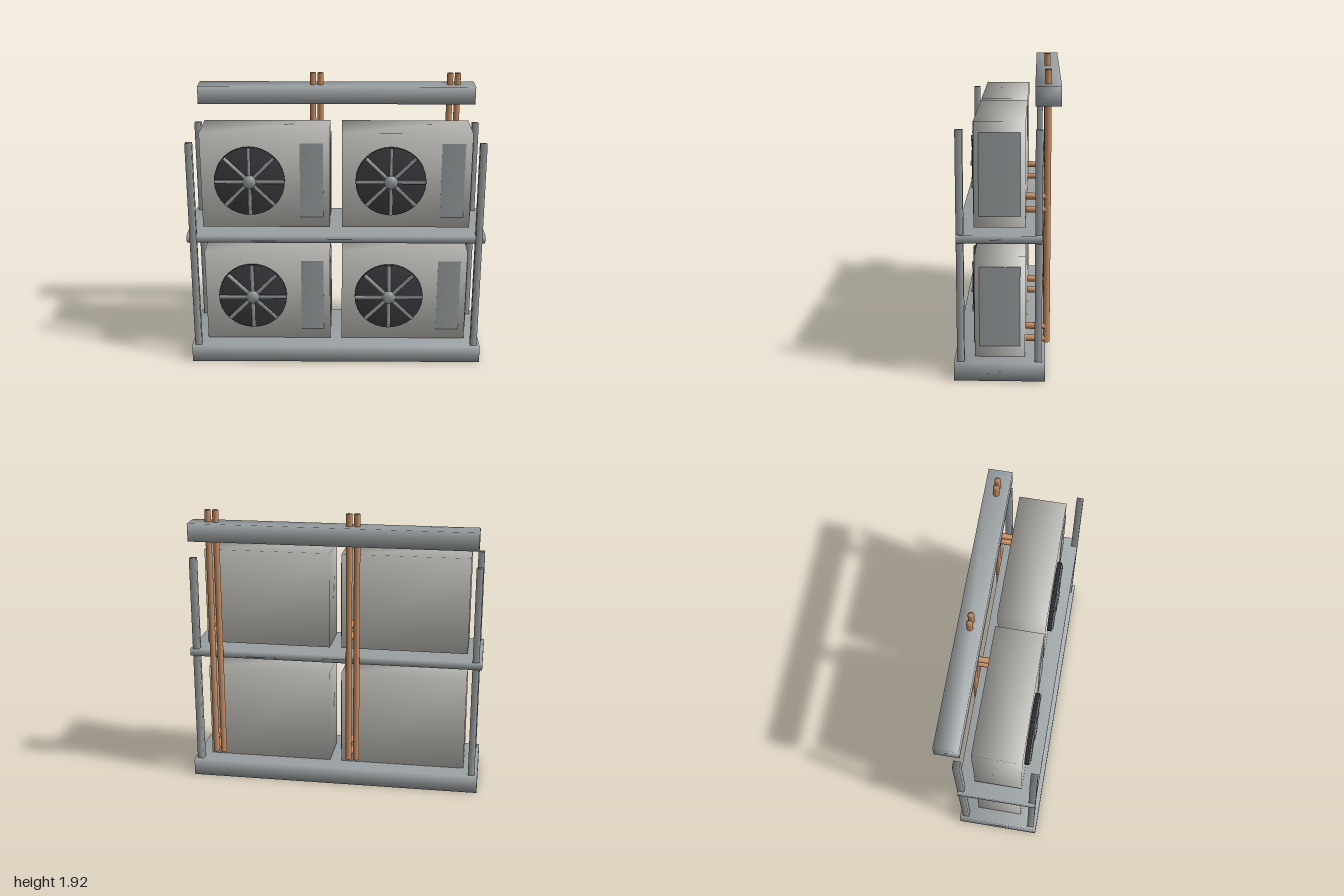
import * as THREE from 'three';
import { mergeVertices } from 'three/addons/utils/BufferGeometryUtils.js';

const mat = (name, color) => {
  const m = new THREE.MeshStandardMaterial({ color });
  m.name = name;
  return m;
};

// Weld all corners so the shading runs softly over every edge
function soften(geo) {
  geo.deleteAttribute('normal');
  geo.deleteAttribute('uv');
  const g = mergeVertices(geo);
  g.computeVertexNormals();
  return g;
}

function add(parent, name, geo, material) {
  const mesh = new THREE.Mesh(soften(geo), material);
  mesh.name = name;
  parent.add(mesh);
  return mesh;
}

// Box given by its extents on each axis
function box(parent, name, [x0, x1], [y0, y1], [z0, z1], material) {
  const mesh = add(parent, name, new THREE.BoxGeometry(x1 - x0, y1 - y0, z1 - z0), material);
  mesh.position.set((x0 + x1) / 2, (y0 + y1) / 2, (z0 + z1) / 2);
  return mesh;
}

export function createModel() {
  const model = new THREE.Group();
  model.name = 'condenserRack';
  const casing = mat('warm white casing', 0xc9c8c3);
  const metal = mat('grey metal', 0x9aa0a2);
  const dark = mat('dark fan opening', 0x3c3b40);
  const copper = mat('copper', 0xc98e62);

  // Rack: plinth, shelf, posts and the overhead duct
  box(model, 'plinth', [-1, 1], [0, 0.12], [-0.24, 0.327], metal);
  box(model, 'shelf', [-1, 1], [0.89, 0.94], [-0.22, 0.307], metal);
  for (const side of [-1, 1]) {
    for (const z of [-0.197, 0.285]) {
      const post = box(model, 'post', [-0.0225, 0.0225], [0.01, 1.58], [-0.0225, 0.0225], metal);
      post.position.x = side * 0.958;
      post.position.z = z;
    }
  }
  box(model, 'overheadDuct', [-0.95, 0.95], [1.72, 1.84], [-0.327, -0.17], metal);

  // One fan unit, origin at the bottom centre of its casing
  function fanUnit(x, y) {
    const unit = new THREE.Group();
    unit.name = 'fanUnit';
    unit.position.set(x, y, 0);
    model.add(unit);
    box(unit, 'casing', [-0.43, 0.43], [0, 0.658], [-0.115, 0.202], casing);
    box(unit, 'frontPanel', [0.23, 0.385], [0.073, 0.59], [0.2, 0.209], metal);
    box(unit, 'sidePanel', [0.428, 0.437], [0.073, 0.59], [-0.083, 0.172], metal);

    const fan = new THREE.Group();
    fan.name = 'fan';
    fan.position.set(-0.105, 0.332, 0);
    unit.add(fan);
    const disc = add(fan, 'fanOpening', new THREE.CylinderGeometry(0.235, 0.235, 0.03, 32), dark);
    disc.rotation.x = Math.PI / 2;
    disc.position.z = 0.215;
    // Four bars across the opening make eight spokes
    for (let i = 0; i < 4; i++) {
      const bar = add(fan, 'guardBar', new THREE.BoxGeometry(0.465, 0.022, 0.012), metal);
      bar.rotation.z = i * Math.PI / 4;
      bar.position.z = 0.233;
    }
    const hub = add(fan, 'hub', new THREE.CylinderGeometry(0.045, 0.045, 0.022, 20), metal);
    hub.rotation.x = Math.PI / 2;
    hub.position.z = 0.235;

    // Short pipes from the back of the casing to the riser
    for (const h of [0.1, 0.183]) {
      const stub = add(unit, 'stubPipe', new THREE.CylinderGeometry(0.021, 0.021, 0.14, 12), copper);
      stub.rotation.x = Math.PI / 2;
      stub.position.set(0.36, h, -0.175);
    }
  }

  for (const x of [-0.47, 0.47]) {
    for (const y of [0.122, 0.964]) fanUnit(x, y);
    // Pair of risers behind each column of units
    for (const offset of [0.308, 0.36]) {
      const riser = add(model, 'riserPipe', new THREE.CylinderGeometry(0.021, 0.021, 1.72, 12), copper);
      riser.position.set(x + offset, 1.06, -0.247);
    }
  }
  return model;
}
